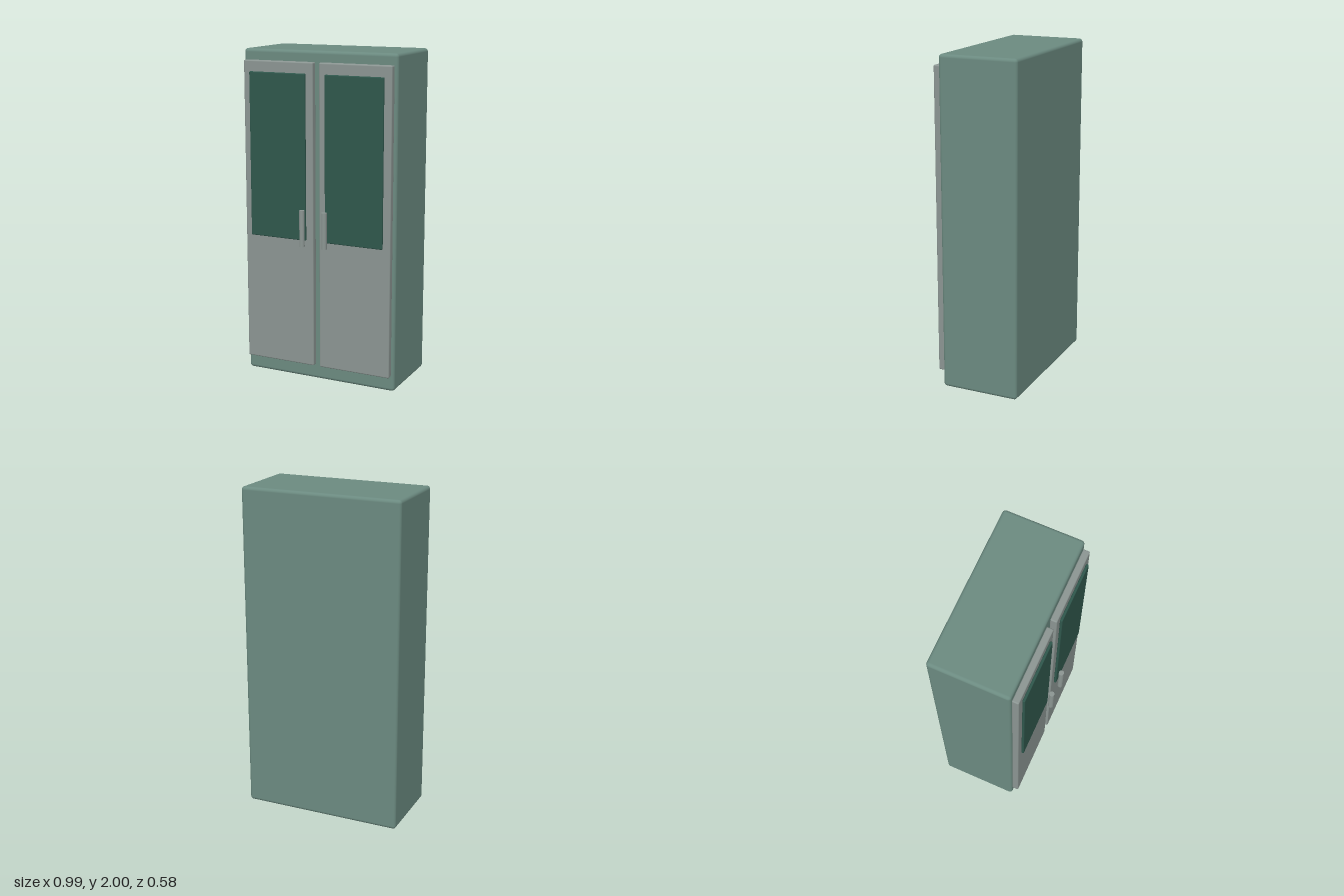
import * as THREE from 'three';
import { RoundedBoxGeometry } from 'three/addons/geometries/RoundedBoxGeometry.js';

const paint = (color) => new THREE.MeshStandardMaterial({ color });

// Rounded box given by its limits on each axis
function slab(name, [x0, x1], [y0, y1], [z0, z1], radius, material) {
  const geometry = new RoundedBoxGeometry(x1 - x0, y1 - y0, z1 - z0, 3, radius);
  const mesh = new THREE.Mesh(geometry, material);
  mesh.name = name;
  mesh.position.set((x0 + x1) / 2, (y0 + y1) / 2, (z0 + z1) / 2);
  return mesh;
}

export function createModel() {
  const model = new THREE.Group();
  model.name = 'cabinet';
  const green = paint(0x6b8a80);
  const grey = paint(0x8b9592);
  const glass = paint(0x2f574c);

  // Cabinet body
  model.add(slab('body', [-0.493, 0.493], [0, 2], [-0.288, 0.192], 0.02, green));

  // Mirrored pair of doors, each with a window and an upright bar handle
  for (const side of [1, -1]) {
    const span = (a, b) => (side > 0 ? [a, b] : [-b, -a]);
    const door = new THREE.Group();
    door.name = side > 0 ? 'leftDoor' : 'rightDoor';
    door.add(slab('doorPanel', span(0.02, 0.475), [0.095, 1.935], [0.19, 0.231], 0.008, grey));
    door.add(slab('window', span(0.063, 0.431), [0.88, 1.87], [0.231, 0.247], 0.006, glass));

    const handle = new THREE.Mesh(new THREE.CylinderGeometry(0.016, 0.016, 0.22, 24), grey);
    handle.name = 'handle';
    handle.position.set(side * 0.073, 0.96, 0.272);
    door.add(handle);
    model.add(door);
  }
  return model;
}
